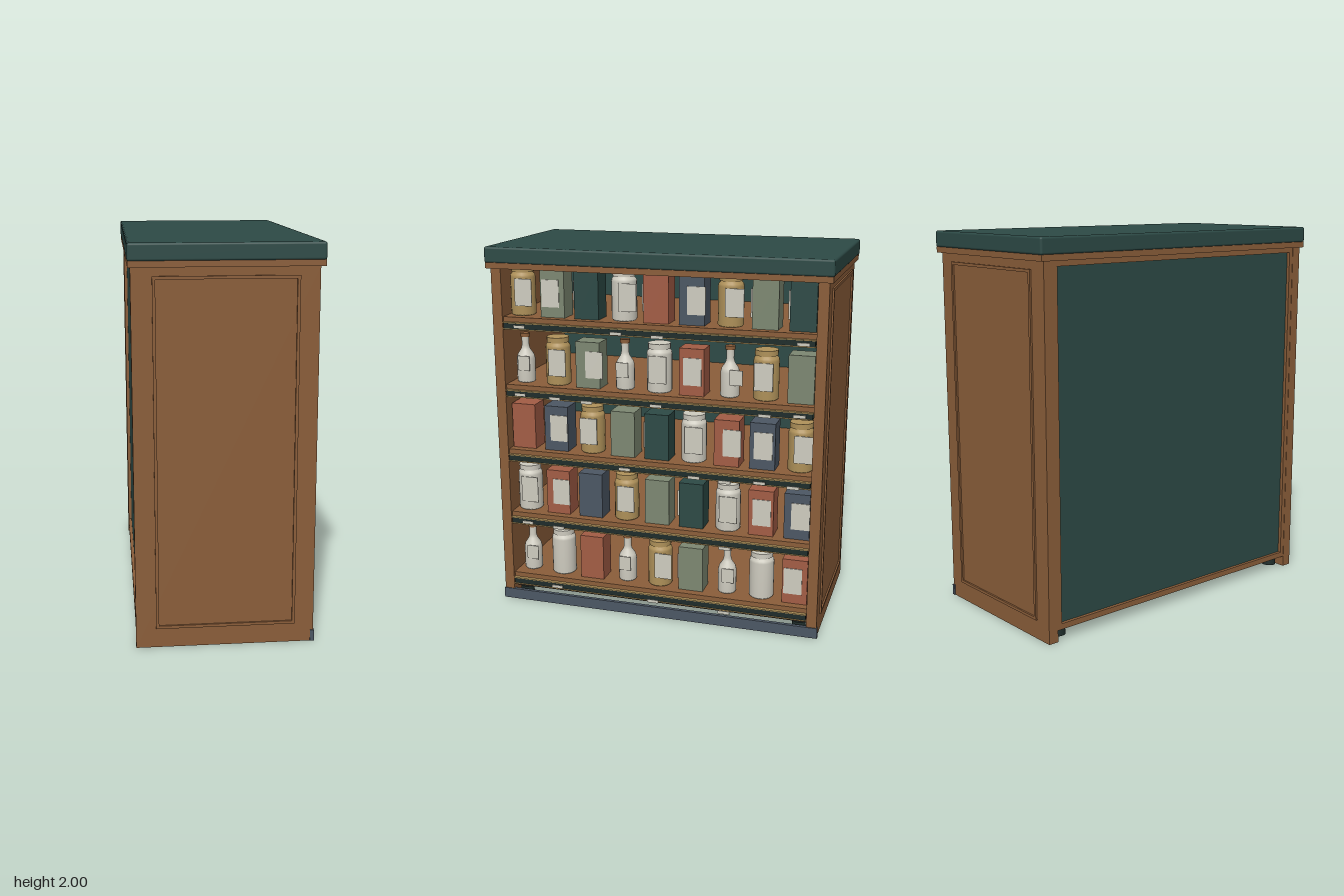
import * as THREE from 'three';
import { RoundedBoxGeometry } from 'three/addons/geometries/RoundedBoxGeometry.js';

export function createModel() {
  const root = new THREE.Group();
  root.name = 'stockedCabinet';

  const mat = (name, color) => {
    const m = new THREE.MeshStandardMaterial({ color });
    m.name = name;
    return m;
  };
  const wood = mat('wood', 0x8b5e3a);
  const teal = mat('deepTeal', 0x2d4a46);
  const slate = mat('slate', 0x4c5764);
  const maroon = mat('darkMaroon', 0x3a2420);
  const dark = mat('darkRail', 0x1e2c2a);
  const cream = mat('cream', 0xcfccc0);
  const gold = mat('gold', 0xb0925a);
  const sage = mat('sage', 0x7d8872);
  const rust = mat('rust', 0xa35d45);

  const add = (name, geo, material, x, y, z, parent = root) => {
    const mesh = new THREE.Mesh(geo, material);
    mesh.name = name;
    mesh.position.set(x, y, z);
    parent.add(mesh);
    return mesh;
  };
  // Box given by its limits on each axis
  const box = (name, material, x0, x1, y0, y1, z0, z1, parent = root) =>
    add(name, new THREE.BoxGeometry(x1 - x0, y1 - y0, z1 - z0), material,
      (x0 + x1) / 2, (y0 + y1) / 2, (z0 + z1) / 2, parent);

  // Top
  add('topSlab', new RoundedBoxGeometry(0.93, 0.085, 1.84, 2, 0.012), teal, -0.02, 1.9575, 0);
  box('topMoulding', wood, -0.482, 0.442, 1.887, 1.918, -0.915, 0.915);

  // Side panels, each with a raised rectangular moulding, and feet
  for (const s of [1, -1]) {
    const side = new THREE.Group();
    side.name = s > 0 ? 'frontSide' : 'backSide';
    root.add(side);
    const slab = (name, x0, x1, y0, y1, za, zb) =>
      box(name, wood, x0, x1, y0, y1, Math.min(s * za, s * zb), Math.max(s * za, s * zb), side);
    slab('sidePanel', -0.47, 0.42, 0, 1.887, 0.84, 0.895);
    for (const x of [-0.37, 0.31]) slab('mouldingUpright', x, x + 0.015, 0.1, 1.845, 0.895, 0.904);
    for (const y of [0.1, 1.83]) slab('mouldingRail', -0.355, 0.31, y, y + 0.015, 0.895, 0.904);
    for (const x of [-0.4, 0.35])
      add('foot', new THREE.CylinderGeometry(0.035, 0.04, 0.05, 16), dark, x, 0.035, s * 0.79, side);
    // Stiles framing the recessed back
    box('backStile', wood, -0.468, -0.44, 0.06, 1.887, s > 0 ? 0.815 : -0.84, s > 0 ? 0.84 : -0.815, side);
  }

  // Back, base and kick plate
  box('backPanel', teal, -0.45, -0.425, 0.08, 1.887, -0.84, 0.84);
  box('backTopRail', wood, -0.468, -0.44, 1.86, 1.887, -0.815, 0.815);
  box('backBottomRail', wood, -0.468, -0.44, 0.06, 0.09, -0.815, 0.815);
  box('base', maroon, -0.44, 0.37, 0.06, 0.13, -0.84, 0.84);
  box('kickPlate', slate, 0.405, 0.425, 0, 0.058, -0.9, 0.9);

  // Goods: profiles stand on y = 0
  const lathe = (pts) => new THREE.LatheGeometry(pts.map(([r, y]) => new THREE.Vector2(r, y)), 20);
  const jarGeo = lathe([[0, 0], [0.06, 0], [0.067, 0.008], [0.067, 0.205], [0.064, 0.218],
    [0.054, 0.228], [0.054, 0.235]]);
  const lidGeo = new THREE.CylinderGeometry(0.06, 0.06, 0.028, 20);
  const bottleGeo = lathe([[0, 0], [0.045, 0], [0.05, 0.008], [0.05, 0.13], [0.044, 0.152],
    [0.025, 0.18], [0.02, 0.2], [0.02, 0.25]]);
  const capGeo = new THREE.CylinderGeometry(0.026, 0.026, 0.02, 16);
  const boxGeo = new THREE.BoxGeometry(0.12, 0.25, 0.135);
  const labelGeo = new THREE.BoxGeometry(0.004, 0.145, 0.098);
  const smallLabelGeo = new THREE.BoxGeometry(0.004, 0.08, 0.068);

  const makeItem = (code) => {
    const item = new THREE.Group();
    const colour = { G: gold, W: cream, B: cream, s: sage, t: teal, r: rust, b: slate }[code];
    if (code === 'B') {
      item.name = 'bottle';
      add('bottleBody', bottleGeo, colour, 0, 0, 0, item);
      add('bottleCap', capGeo, wood, 0, 0.258, 0, item);
    } else if (code === 'G' || code === 'W') {
      item.name = 'jar';
      add('jarBody', jarGeo, colour, 0, 0, 0, item);
      add('jarLid', lidGeo, colour, 0, 0.246, 0, item);
    } else {
      item.name = 'carton';
      add('cartonBody', boxGeo, colour, 0, 0.125, 0, item);
    }
    return item;
  };

  // Rows: goods left to right, label shift (null = none, 'h' = peeking from behind), tag positions
  const N = null, H = 'h';
  const rows = [
    { y: 1.628, goods: 'GstWrbGst', labels: [0.03, -0.01, H, 0.04, H, 0.025, 0.035, H, H],
      tags: [0.74, 0.19, -0.04, -0.78] },
    { y: 1.257, goods: 'BGsBWrBGs', labels: [0.01, 0.02, 0.037, 0, 0.01, 0.005, 0.045, 0, N],
      tags: [0.75, 0.54, 0.35, -0.02, -0.6, -0.77] },
    { y: 0.89, goods: 'rbGstWrbG', labels: [N, 0.016, 0, N, H, 0.016, 0.03, 0.005, 0.025],
      tags: [0.16, -0.23, -0.4, -0.575, -0.755] },
    { y: 0.523, goods: 'WrbGstWrb', labels: [0.025, 0.02, N, 0.016, N, H, 0.016, 0.005, 0.02],
      tags: [0.735, 0.54, -0.405] },
    { y: 0.155, goods: 'BWrBGsBWr', labels: [0.02, N, N, 0, 0.037, H, 0.016, N, -0.01],
      tags: [0.57, 0, -0.405] },
  ];
  for (const { y, goods, labels, tags } of rows) {
    const row = new THREE.Group();
    row.name = 'shelfRow';
    row.position.y = y;
    root.add(row);
    box('shelf', wood, -0.425, 0.405, -0.03, 0, -0.84, 0.84, row);

    // Price rail with thin gold edges
    box('priceRail', dark, 0.395, 0.42, -0.062, -0.032, -0.835, 0.835, row);
    for (const e of [-0.065, -0.031])
      box('railTrim', gold, 0.395, 0.424, e, e + 0.005, -0.838, 0.838, row);
    tags.forEach((z, i) => {
      const x = 0.43 + (i * 2 % 5) * 0.012;
      box('priceTag', cream, x, x + 0.004, -0.055, -0.038, z - 0.032, z + 0.032, row);
    });

    [...goods].forEach((code, i) => {
      const item = makeItem(code);
      item.position.set(0.3, 0, 0.767 - 0.191 * i);
      row.add(item);
      const shift = labels[i];
      if (shift === N) return;
      const small = code === 'B';
      const round = small || code === 'G' || code === 'W';
      const x = shift === H ? 0.04 : small ? 0.054 : round ? 0.071 : 0.063;
      add('label', small ? smallLabelGeo : labelGeo, cream,
        x, small ? 0.11 : 0.128, shift === H ? 0.03 : -shift, item);
    });
  }
  return root;
}
